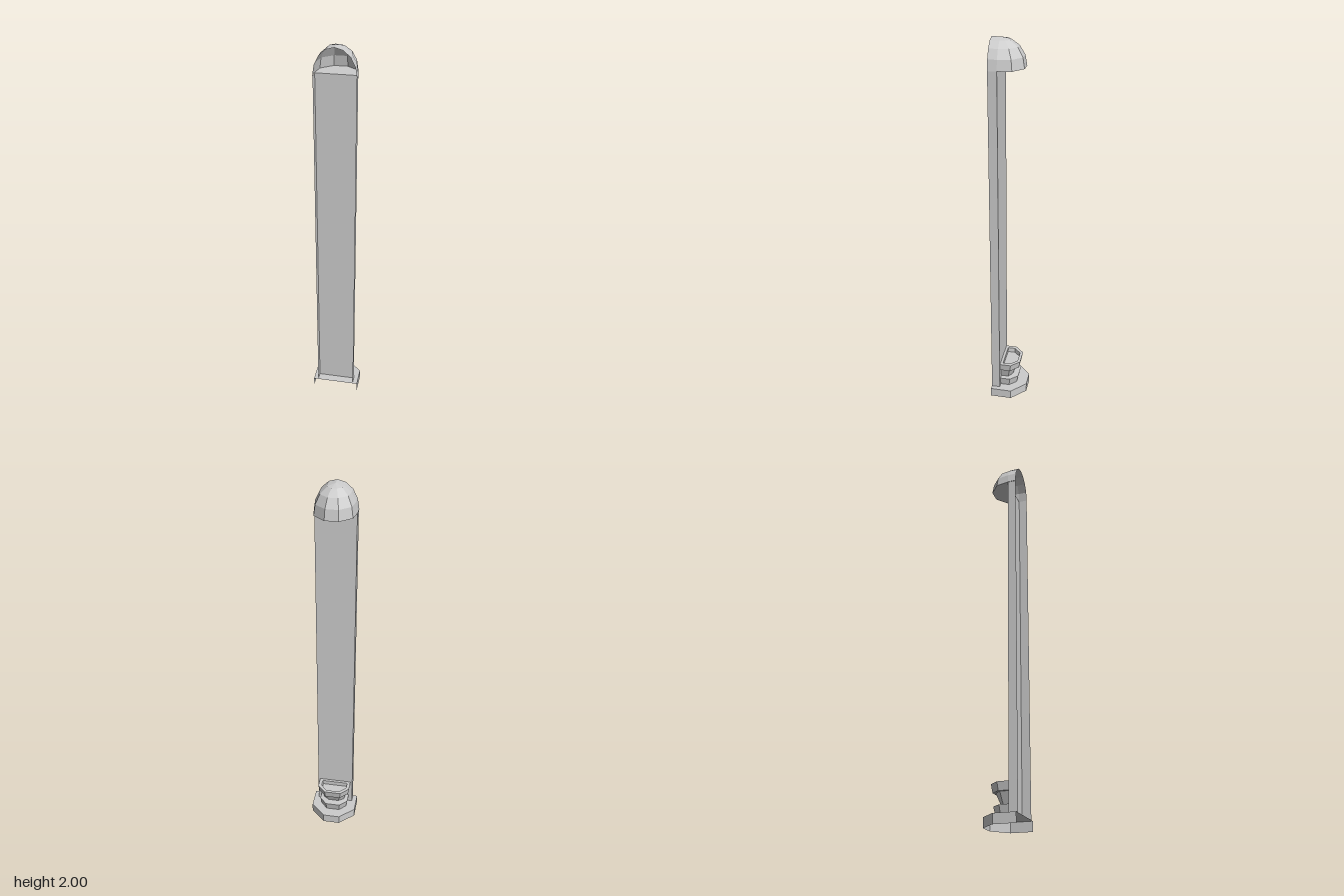
import * as THREE from 'three';

const PANEL_Z = 0.048, FRONT_Z = 0.093, BASE_Y = 0.05, DOME_Y = 1.865;

const stone = new THREE.MeshStandardMaterial({ color: 0xcccccc, side: THREE.DoubleSide, flatShading: true });
stone.name = 'palePlaster';

// Mirror the +x half of an open outline [x, z] so it runs from +x round the back to -x
const mirrored = (half) => [...half, ...half.slice().reverse().map(([x, z]) => [-x, z])];
const ringAt = (outline, y) => outline.map(([x, z]) => [x, y, z]);

// Skin a stack of open rings with flat facets, skipping collapsed triangles
function loft(rings) {
  const pos = [];
  const tri = (...corners) => {
    const [a, b, c] = corners.map((p) => new THREE.Vector3(...p));
    if (b.clone().sub(a).cross(c.clone().sub(a)).length() > 1e-8) pos.push(...corners.flat());
  };
  for (let k = 0; k < rings.length - 1; k++) {
    const low = rings[k], high = rings[k + 1];
    for (let i = 0; i < low.length - 1; i++) {
      tri(low[i], low[i + 1], high[i + 1]);
      tri(low[i], high[i + 1], high[i]);
    }
  }
  const g = new THREE.BufferGeometry();
  g.setAttribute('position', new THREE.Float32BufferAttribute(pos, 3));
  g.computeVertexNormals();
  return g;
}

// Horizontal plate filling an outline, facing up
function plate(outline, y) {
  const shape = new THREE.Shape(outline.map(([x, z]) => new THREE.Vector2(x, -z)));
  return new THREE.ShapeGeometry(shape).rotateX(-Math.PI / 2).translate(0, y, 0);
}

export function createModel() {
  const model = new THREE.Group();
  const add = (name, geometry, parent = model) => {
    const mesh = new THREE.Mesh(geometry, stone);
    mesh.name = name;
    parent.add(mesh);
    return mesh;
  };

  // Tall channel: rear panel and two side returns, open at the front
  const channel = mirrored([[0.1, FRONT_Z], [0.1, PANEL_Z]]);
  add('channelPanel', loft([ringAt(channel, BASE_Y), ringAt(channel, DOME_Y)]));

  // Half-octagon foot: top plate and skirt, open below and in front
  const foot = mirrored([[0.125, FRONT_Z], [0.125, -0.02], [0.045, -0.095]]);
  add('footSkirt', loft([ringAt(foot, 0), ringAt(foot, BASE_Y)]));
  add('footTop', plate(foot, BASE_Y));

  // Faceted half dome with a short barrel over the channel
  const domeBase = mirrored([[0.102, FRONT_Z], [0.102, PANEL_Z], [0.09, -0.02], [0.033, -0.068]]);
  const domeRings = [];
  for (let k = 0; k <= 4; k++) {
    const a = (k / 4) * Math.PI / 2, c = k === 4 ? 0 : Math.cos(a);
    domeRings.push(domeBase.map(([x, z]) => [
      x * c,
      DOME_Y + (2 - DOME_Y) * Math.sin(a),
      z >= PANEL_Z ? z : PANEL_Z + (z - PANEL_Z) * c,
    ]));
  }
  add('dome', loft(domeRings));
  add('domeFloor', plate(domeBase.slice(1, -1), DOME_Y));

  // Stepped basin on the back of the panel
  const basin = new THREE.Group();
  basin.name = 'basin';
  model.add(basin);
  const tier = (side, corner, back, y) =>
    ringAt(mirrored([[side, PANEL_Z], [side, corner], [side * 0.5, back]]), y);
  add('basinBody', loft([
    tier(0.072, 0.0, -0.037, 0.05),
    tier(0.08, -0.005, -0.047, 0.096),
    tier(0.057, 0.008, -0.012, 0.098),
    tier(0.075, -0.003, -0.036, 0.157),
    tier(0.084, -0.007, -0.05, 0.158),
    tier(0.09, -0.012, -0.058, 0.2),
  ]), basin);

  // Rim and sunken bowl
  const bowl = (s, y) => ringAt(mirrored([[0.072 * s, 0.034], [0.072 * s, -0.005], [0.037 * s, -0.042]]), y);
  const rim = tier(0.09, -0.012, -0.058, 0.2);
  const closed = (ring) => [...ring, ring[0]];
  add('basinRim', loft([closed(rim), closed(bowl(1, 0.2)), closed(bowl(0.95, 0.175))]), basin);
  add('basinBowlFloor', plate(bowl(0.95, 0).map(([x, , z]) => [x, z]), 0.175), basin);

  return model;
}
